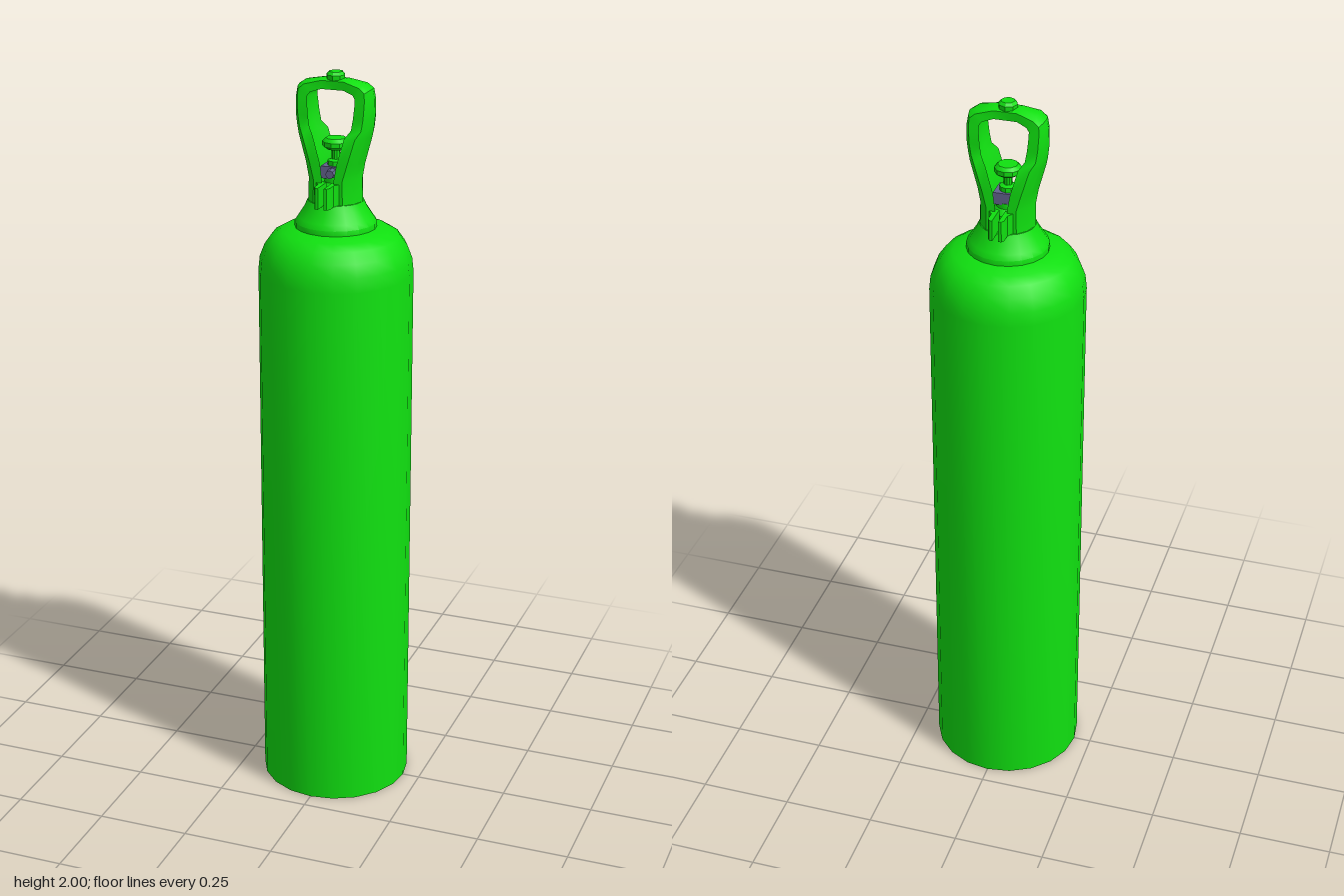
import * as THREE from 'three';
import { toCreasedNormals } from 'three/addons/utils/BufferGeometryUtils.js';

const green = new THREE.MeshStandardMaterial({ color: 0x10e010 });
const violet = new THREE.MeshStandardMaterial({ color: 0x62628c });

function part(parent, name, geometry, material = green, crease = 0.6) {
  const mesh = new THREE.Mesh(toCreasedNormals(geometry, crease), material);
  mesh.name = name;
  parent.add(mesh);
  return mesh;
}

const lathe = (profile, sides) =>
  new THREE.LatheGeometry(profile.map(([r, y]) => new THREE.Vector2(r, y)), sides);

// Curved strap swept over the valve: outer and inner edge, half width and bulge per station
function strapGeometry() {
  const side = [ // outer x, y, inner x, y, half width, bulge
    [0.074, 1.665, 0.052, 1.665, 0.060, 0.034],
    [0.073, 1.73, 0.05, 1.73, 0.060, 0.034],
    [0.08, 1.77, 0.052, 1.77, 0.057, 0.03],
    [0.099, 1.84, 0.07, 1.84, 0.055, 0.028],
    [0.103, 1.86, 0.076, 1.86, 0.042, 0.02],
    [0.106, 1.89, 0.079, 1.89, 0.041, 0.018],
    [0.105, 1.935, 0.079, 1.93, 0.038, 0.015],
    [0.099, 1.962, 0.074, 1.946, 0.036, 0.012],
    [0.08, 1.975, 0.063, 1.956, 0.035, 0.009],
    [0.03, 1.984, 0.03, 1.962, 0.026, 0.005],
  ];
  const mirrored = side.slice().reverse().map(([a, b, c, d, w, k]) => [-a, b, -c, d, w, k]);
  const stations = [...side, ...mirrored];
  const across = [-1, -0.6, 0, 0.6, 1];
  const n = across.length * 2, pos = [], idx = [];
  for (const [ox, oy, ix, iy, w, bulge] of stations) {
    const d = new THREE.Vector2(ox - ix, oy - iy).normalize();
    const add = (x, y, t) => pos.push(x - d.x * bulge * t * t, y - d.y * bulge * t * t, t * w);
    across.forEach(t => add(ox, oy, t));
    across.slice().reverse().forEach(t => add(ix, iy, t));
  }
  for (let s = 0; s < stations.length - 1; s++) {
    for (let i = 0; i < n; i++) {
      const a = s * n + i, b = s * n + (i + 1) % n;
      idx.push(a, a + n, b, b, a + n, b + n);
    }
  }
  // Close both feet
  const last = (stations.length - 1) * n;
  for (let i = 0; i < across.length - 1; i++) {
    const j = n - 1 - i;
    idx.push(i, i + 1, j, i + 1, j - 1, j);
    idx.push(last + i, last + j, last + i + 1, last + i + 1, last + j, last + j - 1);
  }
  // The path runs from +x to -x, so reverse any inward winding
  const g = new THREE.BufferGeometry();
  g.setAttribute('position', new THREE.Float32BufferAttribute(pos, 3));
  const v = i => new THREE.Vector3().fromArray(pos, i * 3);
  let volume = 0;
  for (let i = 0; i < idx.length; i += 3) {
    volume += v(idx[i]).dot(v(idx[i + 1]).cross(v(idx[i + 2])));
  }
  g.setIndex(volume < 0 ? idx.reverse() : idx);
  return g;
}

// Half ring with a bolting flange at each end
function clampGeometry() {
  const flange = [[0.008, 0.11], [0.016, 0.11], [0.021, 0.101], [0.021, 0.073], [0.032, 0.059]];
  const a = Math.atan2(0.059, 0.032);
  const shape = new THREE.Shape();
  shape.moveTo(0.008, 0.048);
  flange.forEach(([x, y]) => shape.lineTo(x, y));
  shape.absarc(0, 0, 0.067, a, -a, true);
  flange.slice().reverse().forEach(([x, y]) => shape.lineTo(x, -y));
  shape.lineTo(0.008, -0.048);
  shape.absarc(0, 0, 0.0487, -1.405, 1.405, false);
  const g = new THREE.ExtrudeGeometry(shape, { depth: 0.056, bevelEnabled: false, curveSegments: 8 });
  return g.rotateX(-Math.PI / 2).translate(0, 1.666, 0);
}

export function createModel() {
  const model = new THREE.Group();
  model.name = 'gasCylinder';

  // Tank with rounded shoulder
  part(model, 'tank', lathe([
    [0, 0], [0.203, 0], [0.203, 1.475], [0.199, 1.512], [0.186, 1.545],
    [0.167, 1.572], [0.142, 1.587], [0.1, 1.598], [0, 1.6],
  ], 20));

  // Neck collar
  part(model, 'collar', lathe([
    [0, 1.59], [0.107, 1.592], [0.107, 1.61], [0.098, 1.623], [0.082, 1.648],
    [0.073, 1.667], [0.05, 1.672], [0, 1.672],
  ], 20));

  // Clamp halves and carrying guard
  const guard = new THREE.Group();
  guard.name = 'guard';
  model.add(guard);
  part(guard, 'rightClamp', clampGeometry().rotateY(Math.PI));
  part(guard, 'leftClamp', clampGeometry());
  part(guard, 'guardStrap', strapGeometry());
  part(guard, 'topKnob', lathe([
    [0, 1.965], [0.022, 1.965], [0.025, 1.978], [0.025, 1.992], [0.018, 2], [0, 2],
  ], 8), green, 0.4);

  // Valve with stem and handwheel
  const valve = new THREE.Group();
  valve.name = 'valve';
  model.add(valve);
  part(valve, 'valveBody', lathe([
    [0, 1.665], [0.042, 1.665], [0.042, 1.70], [0.03, 1.715], [0.03, 1.73], [0, 1.73],
  ], 12));
  part(valve, 'valveBlock', new THREE.BoxGeometry(0.062, 0.032, 0.056).translate(0, 1.742, 0), violet);
  part(valve, 'outlet', new THREE.CylinderGeometry(0.011, 0.014, 0.022, 8)
    .rotateX(Math.PI / 2).translate(0, 1.742, 0.036), violet);
  part(valve, 'stem', lathe([
    [0, 1.755], [0.022, 1.755], [0.022, 1.77], [0.011, 1.774], [0.011, 1.806], [0, 1.806],
  ], 10));
  part(valve, 'handwheel', lathe([
    [0, 1.798], [0.024, 1.8], [0.035, 1.808], [0.035, 1.82], [0.026, 1.829], [0, 1.829],
  ], 10));

  return model;
}
